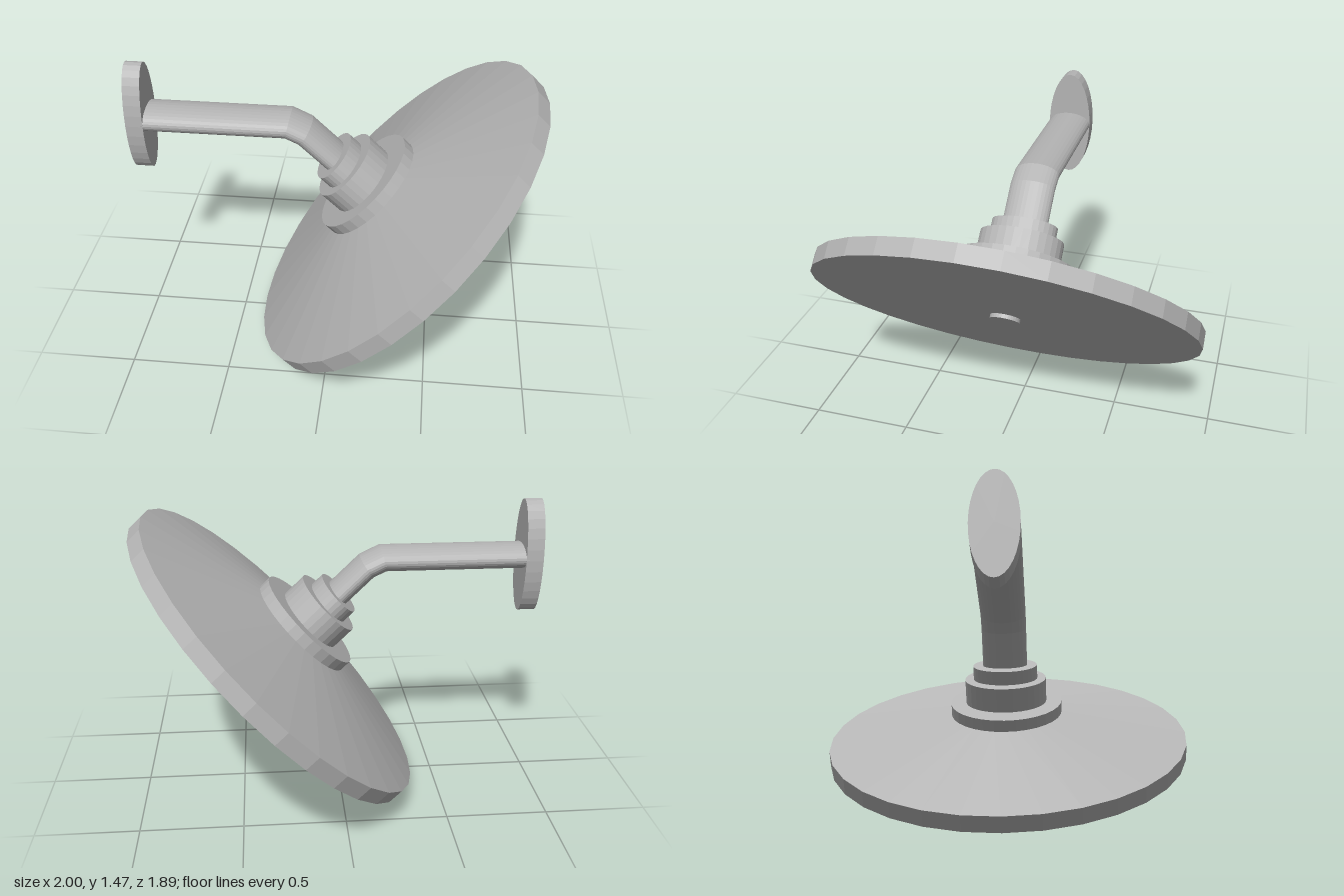
import * as THREE from 'three';

const SIDES = 32;

export function createModel() {
  const model = new THREE.Group();
  model.name = 'showerHead';
  const metal = new THREE.MeshStandardMaterial({ color: 0xb4b4b4 });
  metal.name = 'brushedMetal';
  metal.flatShading = true;

  const add = (parent, name, geometry) => {
    const mesh = new THREE.Mesh(geometry, metal);
    mesh.name = name;
    parent.add(mesh);
    return mesh;
  };
  // Elliptical disc between heights y0 and y1 along its own axis
  const disc = (rx, rz, y0, y1, open = false) =>
    new THREE.CylinderGeometry(1, 1, y1 - y0, SIDES, 1, open)
      .scale(rx, 1, rz).translate(0, (y0 + y1) / 2, 0);

  // Oval wall plate
  add(model, 'wallFlange', disc(0.287, 0.115, -0.0425, 0.0425)
    .rotateZ(Math.PI / 2).translate(-0.9575, 1.188, 0));

  // Bent arm with an oval section, mitred at each joint
  const path = [[-0.93, 1.192], [-0.222, 1.192], [-0.142, 1.154], [0.03, 0.988]]
    .map(([x, y]) => new THREE.Vector2(x, y));
  const positions = [], indices = [];
  path.forEach((p, i) => {
    const before = p.clone().sub(path[Math.max(i - 1, 0)]).normalize();
    const after = path[Math.min(i + 1, path.length - 1)].clone().sub(p).normalize();
    const t = before.clone().add(after).normalize();
    const miter = 1 / t.dot(after.length() ? after : before);
    for (let k = 0; k <= SIDES; k++) {
      const a = (k / SIDES) * Math.PI * 2;
      const r = 0.061 * miter * Math.cos(a);
      positions.push(p.x - t.y * r, p.y + t.x * r, 0.115 * Math.sin(a));
      if (i && k) {
        const n = SIDES + 1, d = i * n + k, c = d - 1, b = d - n, e = b - 1;
        indices.push(e, c, b, b, c, d);
      }
    }
  });
  const arm = new THREE.BufferGeometry();
  arm.setAttribute('position', new THREE.Float32BufferAttribute(positions, 3));
  // Winding runs from +y towards +z around an axis pointing to +x
  for (let i = 0; i < indices.length; i += 3) {
    [indices[i + 1], indices[i + 2]] = [indices[i + 2], indices[i + 1]];
  }
  arm.setIndex(indices);
  arm.computeVertexNormals();
  add(model, 'arm', arm);

  // Tilted head, built upright from its spray face
  const head = new THREE.Group();
  head.name = 'head';
  head.position.set(0.341, 0.684, 0);
  head.rotation.z = 0.803;
  model.add(head);

  // Spray face, rim and conical back
  const R = 0.947;
  add(head, 'sprayPlate', new THREE.LatheGeometry([
    new THREE.Vector2(0, 0),
    new THREE.Vector2(R, 0),
    new THREE.Vector2(R, 0.083),
    new THREE.Vector2(0.28, 0.222),
    new THREE.Vector2(0, 0.222),
  ], SIDES));

  // Stepped collars joining the plate to the arm
  [
    ['lowerCollar', 0.292, 0.292, 0.19, 0.28],
    ['middleCollar', 0.178, 0.212, 0.27, 0.406],
    ['upperCollar', 0.116, 0.167, 0.40, 0.478],
  ].forEach(([name, ...size]) => add(head, name, disc(...size)));

  // Small centre button on the spray face
  add(head, 'centreButton', disc(0.074, 0.075, -0.02, 0.01));

  return model;
}
